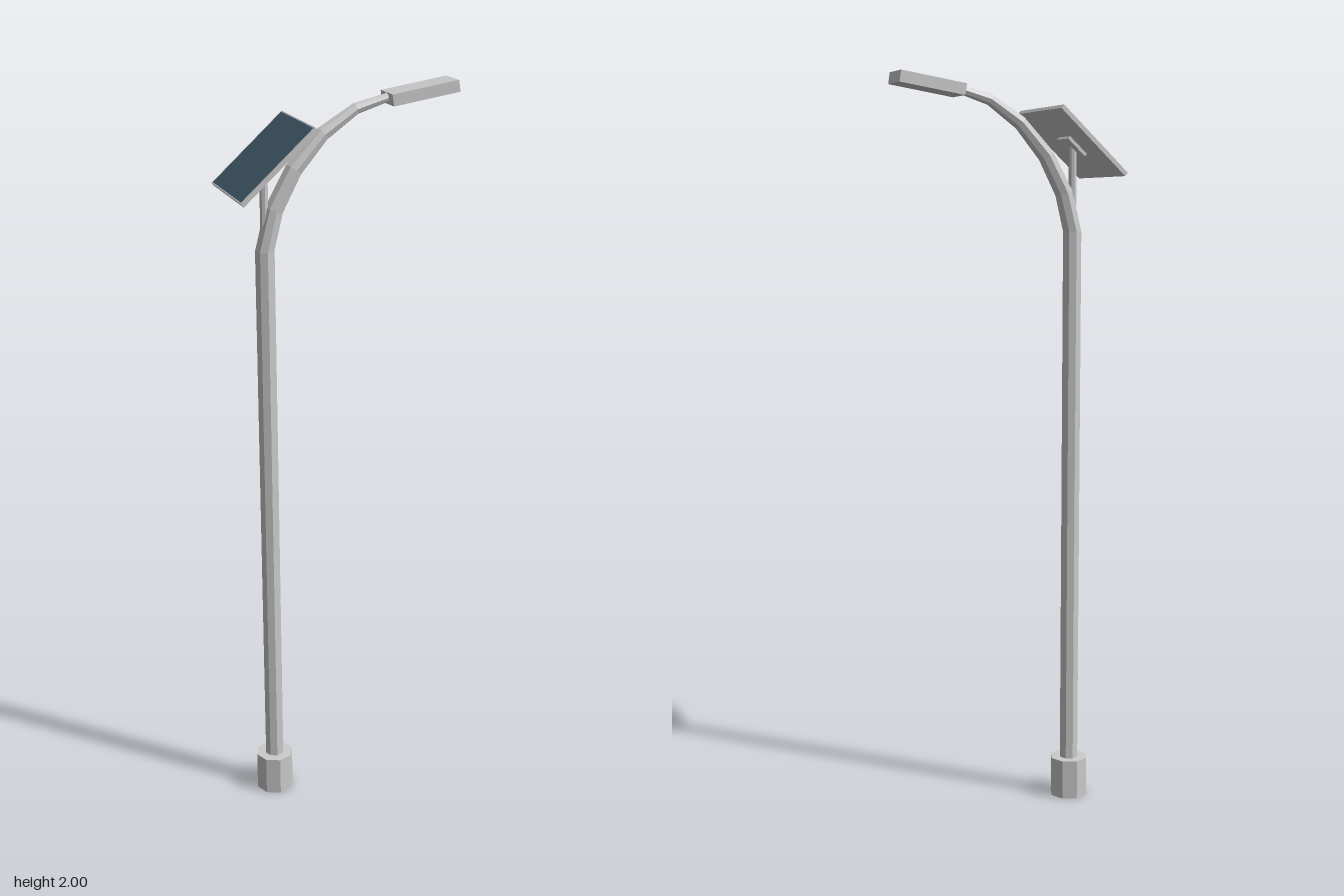
import * as THREE from 'three';

const POLE_X = -0.207, POLE_Z = -0.006, TILT = 0.733;

function material(color = 0xcccccc) {
  return new THREE.MeshStandardMaterial({ color, flatShading: true });
}

function addMesh(parent, name, geometry, mat, x, y, z) {
  const mesh = new THREE.Mesh(geometry, mat);
  mesh.name = name;
  mesh.position.set(x, y, z);
  parent.add(mesh);
  return mesh;
}

// Tapered tube through [x, y, radius] stations in the XY plane, capped at both ends
function sweep(stations, sides) {
  const positions = [], index = [];
  const n = stations.length;
  stations.forEach(([x, y, r], i) => {
    const a = stations[Math.max(i - 1, 0)], b = stations[Math.min(i + 1, n - 1)];
    const dir = new THREE.Vector2(b[0] - a[0], b[1] - a[1]).normalize();
    for (let j = 0; j < sides; j++) {
      const t = (j / sides) * Math.PI * 2;
      const u = Math.cos(t) * r;
      positions.push(x + dir.y * u, y - dir.x * u, Math.sin(t) * r);
    }
  });
  for (let i = 0; i < n - 1; i++) {
    for (let j = 0; j < sides; j++) {
      const a = i * sides + j, b = i * sides + (j + 1) % sides;
      index.push(a, a + sides, b, b, a + sides, b + sides);
    }
  }
  const last = (n - 1) * sides;
  for (let j = 1; j < sides - 1; j++) {
    index.push(0, j, j + 1, last, last + j + 1, last + j);
  }
  const geometry = new THREE.BufferGeometry();
  geometry.setAttribute('position', new THREE.Float32BufferAttribute(positions, 3));
  geometry.setIndex(index);
  geometry.computeVertexNormals();
  return geometry;
}

export function createModel() {
  const model = new THREE.Group();
  model.name = 'solarStreetLamp';
  const grey = material();

  // Octagonal footing
  addMesh(model, 'base', new THREE.CylinderGeometry(0.053, 0.053, 0.11, 8), grey, POLE_X, 0.055, POLE_Z);

  // Straight pole bending into a tapering arm
  const stations = [
    [POLE_X, 0.05, 0.026],
    [POLE_X, 1.595, 0.026],
    [-0.181, 1.697, 0.025],
    [-0.127, 1.796, 0.0235],
    [-0.05, 1.88, 0.0195],
    [0.038, 1.937, 0.015],
    [0.13, 1.962, 0.011],
  ];
  addMesh(model, 'poleAndArm', sweep(stations, 8), grey, 0, 0, POLE_Z);

  // Lamp head, tilted slightly upwards
  const lamp = addMesh(model, 'lampHead', new THREE.BoxGeometry(0.182, 0.03, 0.082), grey, 0.2125, 1.971, -0.007);
  lamp.rotation.z = 0.15;

  // Upright that carries the solar panel
  addMesh(model, 'panelPost', new THREE.CylinderGeometry(0.011, 0.011, 0.22, 8), grey, POLE_X, 1.71, POLE_Z);

  // Tilted solar panel: frame, cell sheet and mounting plate
  const panel = new THREE.Group();
  panel.name = 'solarPanel';
  panel.position.set(-0.208, 1.831, 0);
  panel.rotation.z = TILT;
  model.add(panel);
  addMesh(panel, 'panelFrame', new THREE.BoxGeometry(0.256, 0.012, 0.262), grey, 0, 0, 0);
  addMesh(panel, 'solarCells', new THREE.BoxGeometry(0.248, 0.002, 0.25), material(0x445e6e), 0, 0.006, 0);
  addMesh(panel, 'mountingPlate', new THREE.BoxGeometry(0.068, 0.01, 0.068), grey, -0.004, -0.01, POLE_Z);

  return model;
}
